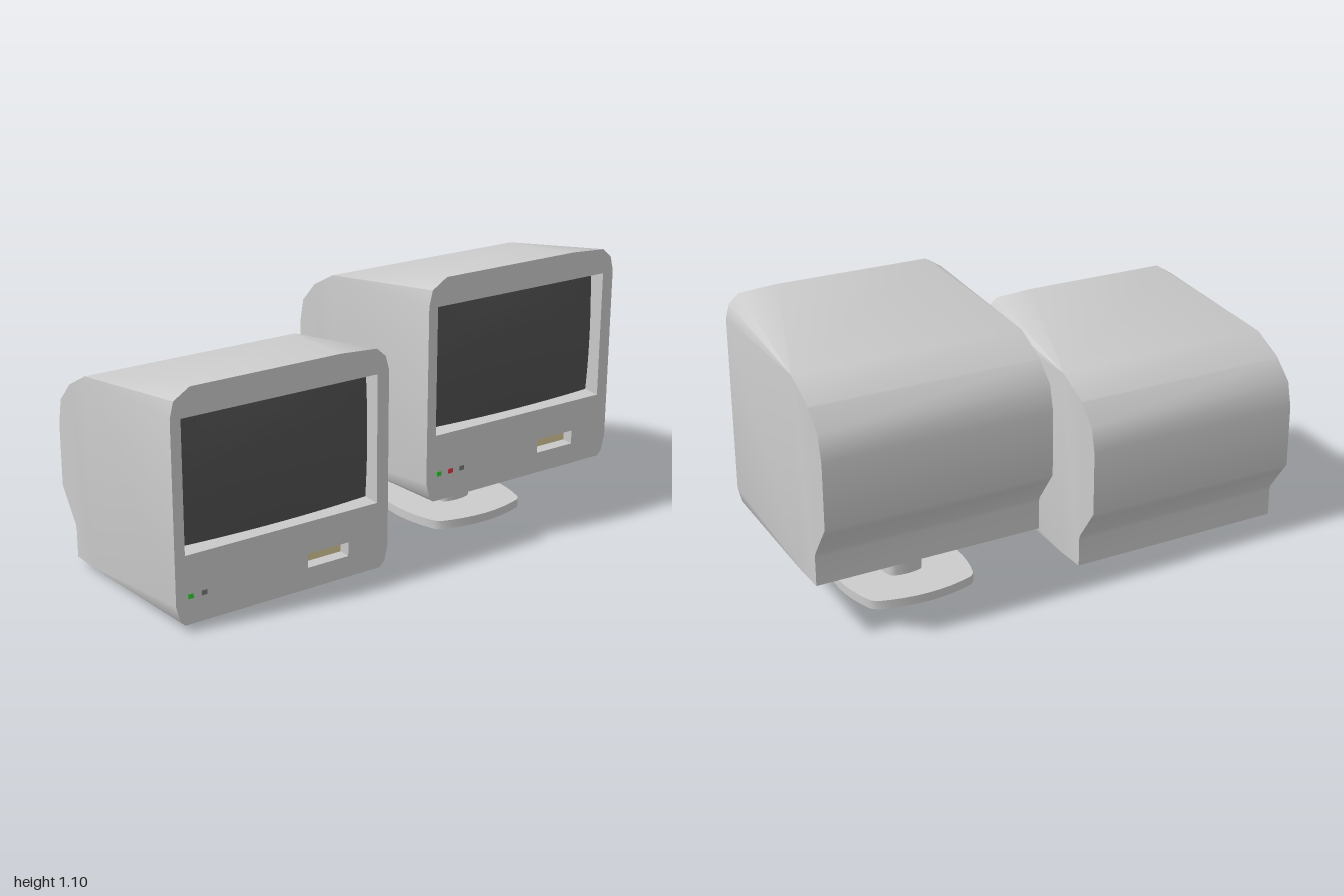
import * as THREE from 'three';
import { toCreasedNormals } from 'three/addons/utils/BufferGeometryUtils.js';

const material = (color) => new THREE.MeshStandardMaterial({ color });
const grey = material(0xcccccc);
const dark = material(0x505050);
const tan = material(0xd8c89a);
const LIGHTS = { green: material(0x33cc33), red: material(0xdd3344), off: material(0x777777) };
const HALF = 0.455, FRONT = 0.42;

function add(parent, name, geometry, mat, x = 0, y = 0, z = 0) {
  const mesh = new THREE.Mesh(geometry, mat);
  mesh.name = name;
  mesh.position.set(x, y, z);
  parent.add(mesh);
  return mesh;
}

// Skin between rings of [x, y, z]; counter-clockwise rings, front to back, face outward
function loft(rings, capEnd, crease) {
  const pos = [];
  const v = (p) => new THREE.Vector3(...p);
  const tri = (a, b, c) => {
    const area = v(b).sub(v(a)).cross(v(c).sub(v(a))).length();
    if (area > 1e-7) pos.push(...a, ...b, ...c);
  };
  const n = rings[0].length;
  for (let i = 0; i < rings.length - 1; i++) {
    for (let j = 0; j < n; j++) {
      const k = (j + 1) % n;
      const [a, b, c, d] = [rings[i][j], rings[i][k], rings[i + 1][j], rings[i + 1][k]];
      tri(a, c, b);
      tri(b, c, d);
    }
  }
  const end = rings[rings.length - 1];
  if (capEnd) for (let j = 1; j < n - 1; j++) tri(end[0], end[j + 1], end[j]);
  const geometry = new THREE.BufferGeometry();
  geometry.setAttribute('position', new THREE.Float32BufferAttribute(pos, 3));
  geometry.computeVertexNormals();
  return toCreasedNormals(geometry, crease);
}

// Front outline, counter-clockwise from the bottom
const OUTLINE = [
  [-0.42, 0], [0.42, 0], [0.44, 0.02], [0.455, 0.08],
  [0.455, 0.77], [0.44, 0.825], [0.4, 0.86], [0.245, 0.87],
  [-0.375, 0.87], [-0.44, 0.83], [-0.455, 0.77],
  [-0.455, 0.08], [-0.44, 0.02],
];
// Sections behind the front: z, top, bottom
const SECTIONS = [
  [-0.19, 0.755, 0], [-0.315, 0.69, 0], [-0.32, 0.686, 0], [-0.32, 0.686, 0.11],
  [-0.325, 0.68, 0.13], [-0.395, 0.61, 0.228], [-0.418, 0.51, 0.26],
];

// Openings: left, right, bottom, top
const SCREEN = [-0.414, 0.404, 0.263, 0.763];
const SLOT = [0.095, 0.275, 0.083, 0.138];

const corners = ([l, r, b, t], inset = 0) => [
  [l + inset, b + inset], [r - inset, b + inset], [r - inset, t - inset], [l + inset, t - inset],
];

// Inward-facing tapered walls of an opening
function recess(rect, inset, depth) {
  const ring = (i, z) => corners(rect, i).reverse().map(([x, y]) => [x, y, z]);
  return loft([ring(0, FRONT), ring(inset, FRONT - depth)], false, 0.1);
}

function createMonitor(lights) {
  const monitor = new THREE.Group();

  // Casing: rounded front corners sharpen towards the back
  const rings = [OUTLINE.map(([x, y]) => [x, y, FRONT])];
  for (const [z, top, bottom] of SECTIONS) {
    rings.push(OUTLINE.map(([x, y]) => [Math.sign(x) * HALF, y > 0.4 ? top : bottom, z]));
  }
  add(monitor, 'casing', loft(rings, true, 0.7), grey);

  // Front panel with openings for the screen and the drive slot
  const toPoints = (list) => list.map(([x, y]) => new THREE.Vector2(x, y));
  const panel = new THREE.Shape(toPoints(OUTLINE));
  for (const rect of [SCREEN, SLOT]) panel.holes.push(new THREE.Path(toPoints(corners(rect))));
  add(monitor, 'frontPanel', new THREE.ShapeGeometry(panel), grey, 0, 0, FRONT);

  // Recessed, gently bulging screen
  add(monitor, 'screenSurround', recess(SCREEN, 0.01, 0.06), grey);
  const [l, r, b, t] = SCREEN;
  const glass = new THREE.PlaneGeometry(r - l - 0.02, t - b - 0.02, 16, 10);
  const p = glass.attributes.position;
  for (let i = 0; i < p.count; i++) {
    const u = p.getX(i) / (r - l) * 2, w = p.getY(i) / (t - b) * 2;
    p.setZ(i, 0.035 * (1 - u * u) * (1 - 0.5 * w * w) + 0.01 * (1 - w * w));
  }
  glass.computeVertexNormals();
  add(monitor, 'screen', glass, dark, (l + r) / 2, (b + t) / 2, FRONT - 0.06);

  // Drive slot
  add(monitor, 'slotWalls', recess(SLOT, 0.009, 0.035), grey);
  const [sl, sr, sb, st] = SLOT;
  add(monitor, 'slotBack', new THREE.PlaneGeometry(sr - sl - 0.018, st - sb - 0.018), tan,
    (sl + sr) / 2, (sb + st) / 2, FRONT - 0.035);

  // Indicator lights
  lights.forEach((key, i) => {
    add(monitor, 'indicatorLight', new THREE.BoxGeometry(0.022, 0.018, 0.006), LIGHTS[key],
      -0.396 + 0.055 * i, 0.107, FRONT - 0.001);
  });
  return monitor;
}

// Upright prism with bulging sides and clipped corners
function bulgedPrism(half, height) {
  const c = half * 0.86, k = half * 0.78, out = half * 2 - c;
  const shape = new THREE.Shape();
  shape.moveTo(-k, -c);
  shape.quadraticCurveTo(0, -out, k, -c);
  shape.lineTo(c, -k);
  shape.quadraticCurveTo(out, 0, c, k);
  shape.lineTo(k, c);
  shape.quadraticCurveTo(0, out, -k, c);
  shape.lineTo(-c, k);
  shape.quadraticCurveTo(-out, 0, -c, -k);
  shape.closePath();
  const geometry = new THREE.ExtrudeGeometry(shape, { depth: height, bevelEnabled: false, curveSegments: 8 });
  geometry.rotateX(-Math.PI / 2);
  return toCreasedNormals(geometry, 0.5);
}

export function createModel() {
  const model = new THREE.Group();
  model.name = 'monitorPair';

  const low = createMonitor(['green', 'off']);
  low.name = 'lowMonitor';
  low.position.set(-0.545, 0.025, 0);

  const raised = createMonitor(['green', 'red', 'off']);
  raised.name = 'raisedMonitor';
  raised.position.set(0.545, 0.23, 0);
  model.add(low, raised);

  // Stand under the raised monitor
  const stand = new THREE.Group();
  stand.name = 'stand';
  stand.position.set(0.517, 0, 0.012);
  add(stand, 'standBase', bulgedPrism(0.253, 0.035), grey);
  add(stand, 'standPost', bulgedPrism(0.077, 0.2), grey, 0, 0.032, 0);
  model.add(stand);
  return model;
}
